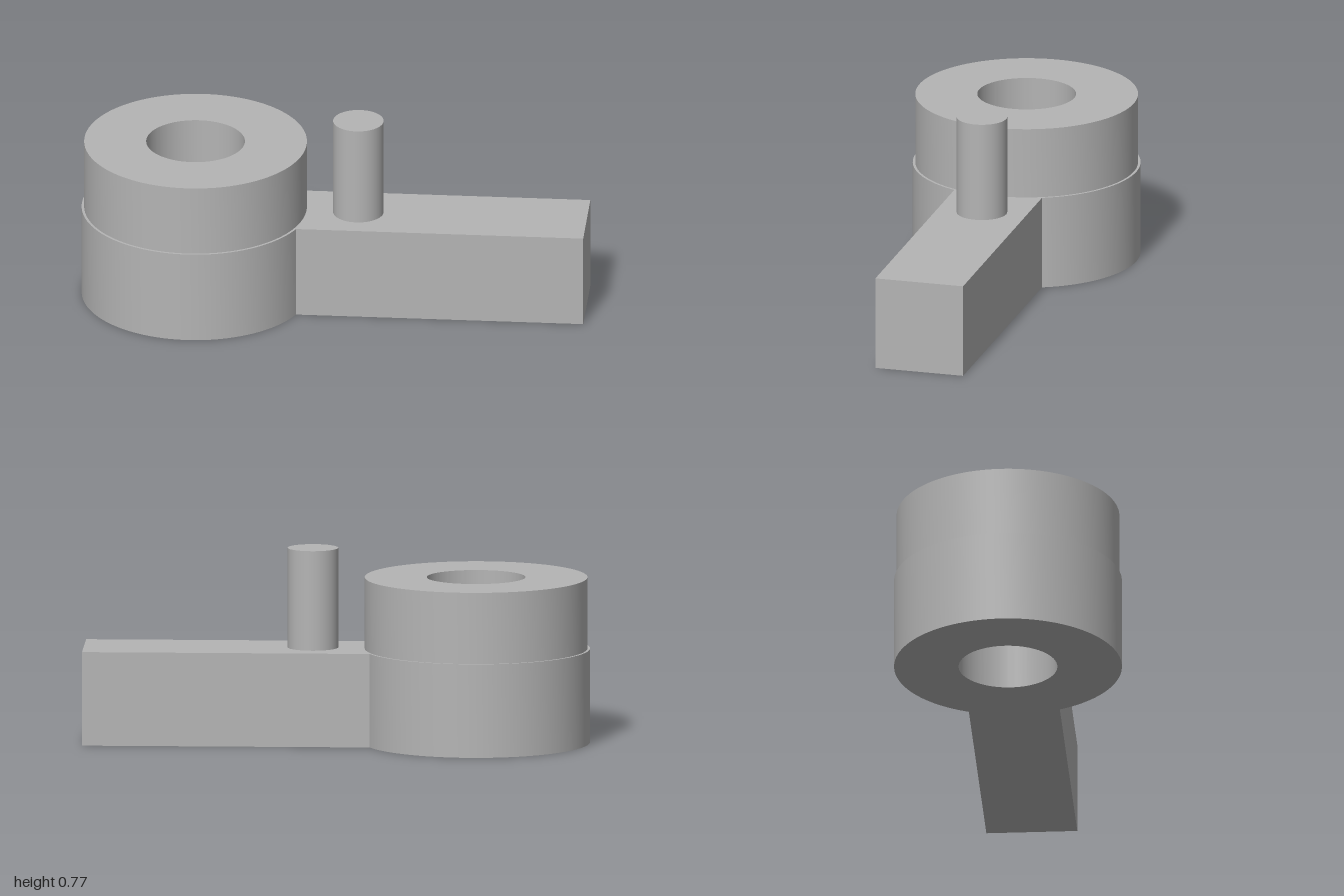
import * as THREE from 'three';
import { toCreasedNormals } from 'three/addons/utils/BufferGeometryUtils.js';

const HUB_X = -0.55, BORE = 0.195, BASE_H = 0.373;

export function createModel() {
  const group = new THREE.Group();
  const metal = new THREE.MeshStandardMaterial({ color: 0xb4b4b4 });
  metal.name = 'grey metal';

  const add = (name, geometry) => {
    const mesh = new THREE.Mesh(geometry, metal);
    mesh.name = name;
    group.add(mesh);
    return mesh;
  };

  // Extrudes a plan outline upwards, with the bore cut through the hub
  const extrudeUp = (shape, y0, y1) => {
    const bore = new THREE.Path();
    bore.absarc(HUB_X, 0, BORE, 0, Math.PI * 2, true);
    shape.holes.push(bore);
    const g = new THREE.ExtrudeGeometry(shape, { depth: y1 - y0, bevelEnabled: false, curveSegments: 72 });
    g.rotateX(-Math.PI / 2).translate(0, y0, 0);
    return toCreasedNormals(g, 0.4);
  };

  // Lower hub and straight arm in one outline
  const hubR = 0.45, armHalf = 0.18;
  const a = Math.asin(armHalf / hubR);
  const base = new THREE.Shape();
  base.moveTo(1, -armHalf);
  base.lineTo(1, armHalf);
  base.absarc(HUB_X, 0, hubR, a, Math.PI * 2 - a, false);
  base.closePath();
  add('hubAndArm', extrudeUp(base, 0, BASE_H));

  // Slightly narrower collar on the hub
  const collar = new THREE.Shape();
  collar.absarc(HUB_X, 0, 0.44, 0, Math.PI * 2, false);
  add('collar', extrudeUp(collar, BASE_H, 0.657));

  // Upright pin on the arm
  const pinH = 0.77 - BASE_H;
  add('pin', new THREE.CylinderGeometry(0.1, 0.1, pinH, 64)).position.set(0.095, BASE_H + pinH / 2, 0);

  return group;
}
